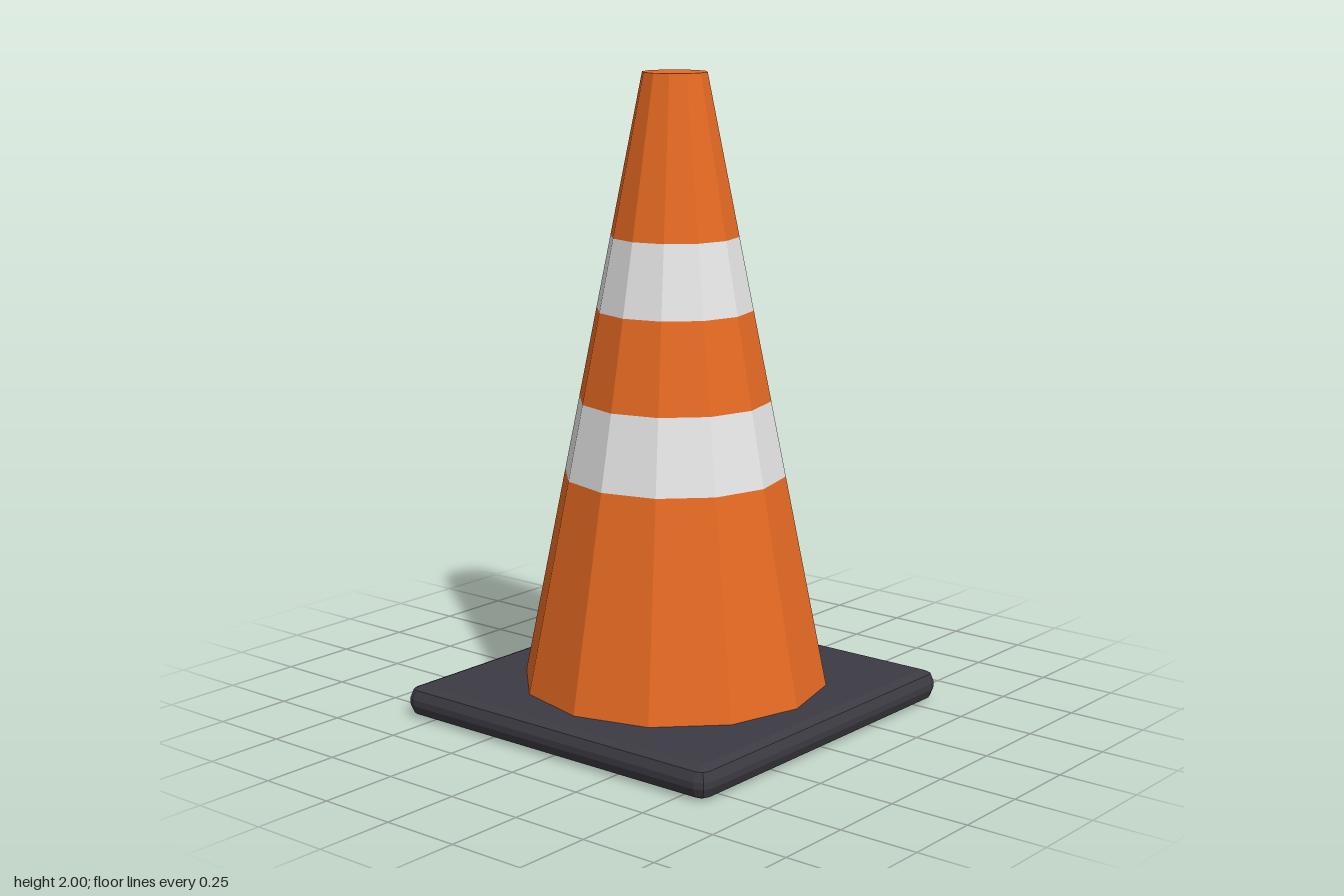
import * as THREE from 'three';
import { ConvexGeometry } from 'three/addons/geometries/ConvexGeometry.js';

const SIDES = 12;

function material(name, color) {
  const m = new THREE.MeshStandardMaterial({ color, flatShading: true });
  m.name = name;
  return m;
}

// Slab whose edges and corners are rounded in two flat steps
function roundedSlab(width, height, depth, radius) {
  const points = [];
  const steps = [0, Math.PI / 4, Math.PI / 2];
  for (const sx of [-1, 1]) for (const sy of [-1, 1]) for (const sz of [-1, 1]) {
    const corner = (dx, dy, dz) => points.push(new THREE.Vector3(
      sx * (width / 2 - radius + radius * dx),
      sy * (height / 2 - radius + radius * dy),
      sz * (depth / 2 - radius + radius * dz)));
    corner(0, 1, 0);
    for (const e of steps.slice(0, 2)) for (const a of steps) {
      corner(Math.cos(e) * Math.cos(a), Math.sin(e), Math.cos(e) * Math.sin(a));
    }
  }
  return new ConvexGeometry(points);
}

export function createModel() {
  const group = new THREE.Group();
  group.name = 'trafficCone';
  const orange = material('orange', 0xe66a23);
  const white = material('white', 0xe6e6e6);
  const rubber = material('darkRubber', 0x3c3b43);

  const add = (name, geometry, mat, y) => {
    const mesh = new THREE.Mesh(geometry, mat);
    mesh.name = name;
    mesh.position.y = y;
    group.add(mesh);
  };

  // Square foot
  add('base', roundedSlab(1.2, 0.1, 1.2, 0.04), rubber, 0.05);

  // Tapering body, stacked from coloured bands
  const radiusAt = (y) => 0.5 - 0.2 * y;
  const bands = [
    ['lowerBody', 0.1, 0.765, orange],
    ['lowerStripe', 0.765, 1.0, white],
    ['middleBody', 1.0, 1.28, orange],
    ['upperStripe', 1.28, 1.505, white],
    ['upperBody', 1.505, 2.0, orange],
  ];
  for (const [name, y0, y1, mat] of bands) {
    add(name, new THREE.CylinderGeometry(radiusAt(y1), radiusAt(y0), y1 - y0, SIDES, 1, true), mat, (y0 + y1) / 2);
  }

  // Flat tip, its corners aligned with the body
  add('tip', new THREE.CircleGeometry(radiusAt(2), SIDES).rotateX(-Math.PI / 2), orange, 2);

  return group;
}
